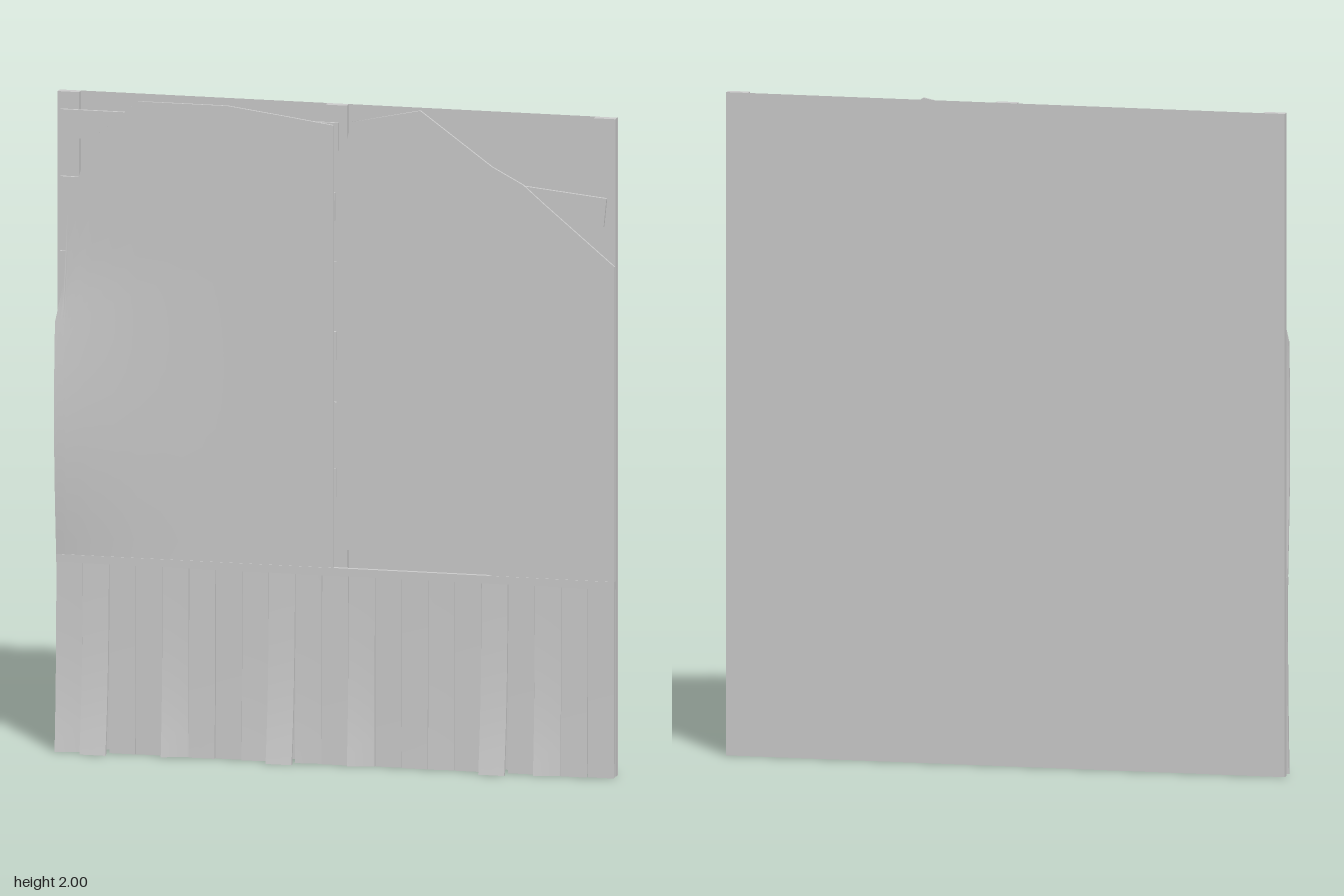
import * as THREE from 'three';

const W = 1.71, H = 2;
const material = new THREE.MeshStandardMaterial({ color: 0xcccccc, side: THREE.DoubleSide });

function add(parent, name, geometry, x = 0, y = 0, z = 0) {
  const mesh = new THREE.Mesh(geometry, material);
  mesh.name = name;
  mesh.position.set(x, y, z);
  parent.add(mesh);
  return mesh;
}

// Moves each vertex of a geometry by a rule
function deform(geometry, rule) {
  const pos = geometry.attributes.position, p = new THREE.Vector3();
  for (let i = 0; i < pos.count; i++) {
    p.fromBufferAttribute(pos, i);
    rule(p);
    pos.setXYZ(i, p.x, p.y, p.z);
  }
  geometry.computeVertexNormals();
  return geometry;
}

// Thin sheet whose outline is a list of [x, bottom y, top y] stations
function sheet(stations, bulge) {
  const spans = stations.length - 1;
  const geometry = new THREE.BoxGeometry(1, 1, 0.008, spans * 2, 24, 1);
  return deform(geometry, p => {
    const t = (p.x + 0.5) * spans, i = Math.min(Math.floor(t + 1e-4), spans - 1), f = t - i;
    const [x, low, high] = stations[i].map((v, k) => THREE.MathUtils.lerp(v, stations[i + 1][k], f));
    p.y = THREE.MathUtils.lerp(low, high, p.y + 0.5);
    p.x = x;
    p.z += bulge(p.x, p.y) - 0.004;
  });
}

export function createModel() {
  const wall = new THREE.Group();
  wall.name = 'brokenWall';

  // Flat backing and the three upright studs in front of it
  add(wall, 'backPanel', new THREE.PlaneGeometry(W, H), 0, H / 2, -0.045);
  for (const x of [-0.822, -0.002, 0.82]) {
    add(wall, 'stud', new THREE.BoxGeometry(0.066, H, 0.025), x, H / 2, -0.0325);
  }

  // Horizontal laths, some of them slipped: [left x, right x, centre y, tilt]
  const laths = [
    [-0.845, 0.006, 1.905, 0], [-0.845, -0.004, 1.697, -0.01], [-0.845, 0.004, 1.478, 0.01],
    [-0.84, 0, 1.27, 0], [-0.845, 0.004, 1.06, -0.01], [-0.84, 0, 0.85, 0.01],
    [0.01, 0.826, 1.757, -0.1], [0.008, 0.82, 1.49, 0.01], [0.006, 0.825, 1.28, 0],
    [0.008, 0.82, 1.05, 0.01], [0.006, 0.825, 0.87, -0.01],
  ];
  for (const [x0, x1, y, tilt] of laths) {
    const lath = add(wall, 'lath', new THREE.BoxGeometry(x1 - x0, 0.086, 0.01), (x0 + x1) / 2, y, -0.0145);
    lath.rotation.z = tilt;
  }

  // Left plaster sheet, bulging forward along its outer edge
  add(wall, 'leftPlaster', sheet([
    [-0.855, 0.597, 1.305], [-0.83, 0.597, 1.43], [-0.82, 0.597, 1.65], [-0.745, 0.597, 1.865],
    [-0.605, 0.597, 1.985], [-0.33, 0.597, 1.985], [-0.16, 0.597, 1.963], [-0.006, 0.597, 1.942],
  ], (x, y) => {
    const rise = Math.sin(Math.PI * THREE.MathUtils.clamp((y - 0.6) / 0.86, 0, 1));
    return 0.026 * rise * Math.max(0, 1 - (x + 0.855) / 0.55) ** 2;
  }));

  // Right plaster sheet with broken corners
  add(wall, 'rightPlaster', sheet([
    [0.004, 0.655, 1.78], [0.05, 0.653, 1.955], [0.26, 0.64, 2], [0.48, 0.597, 1.84],
    [0.575, 0.597, 1.79], [0.635, 0.597, 1.738], [0.855, 0.597, 1.555],
  ], () => 0));

  // Rail over the lower boards
  add(wall, 'rail', new THREE.BoxGeometry(W, 0.024, 0.014), 0, 0.585, -0.005);

  // Lower boards, curling forward or twisting towards the floor
  const bends = [0.006, 0.045, 0.004, 0.001, 0.004, 0.01, 0.003, 0.006, 0.045, 0.004, 0.009,
    0.004, 0.002, 0.006, 0.002, 0.005, 0.045, 0.003, 0.004, 0.009, 0.003];
  const twists = { 0: 0.018, 4: 0.022, 7: 0.006, 9: 0.008, 11: 0.022, 14: 0.006, 18: 0.022 };
  const count = bends.length, width = W / count, height = 0.577;
  bends.forEach((bend, i) => {
    const geometry = new THREE.BoxGeometry(width - 0.002, height, 0.011, 2, 8, 1);
    deform(geometry, p => {
      const drop = 0.5 - p.y / height, side = 0.5 - p.x / width;
      p.z += (bend + (twists[i] || 0) * side) * (0.35 * drop + 0.65 * drop ** 3);
    });
    add(wall, 'lowerBoard', geometry, -W / 2 + (i + 0.5) * width, height / 2, -0.0055);
  });

  return wall;
}
